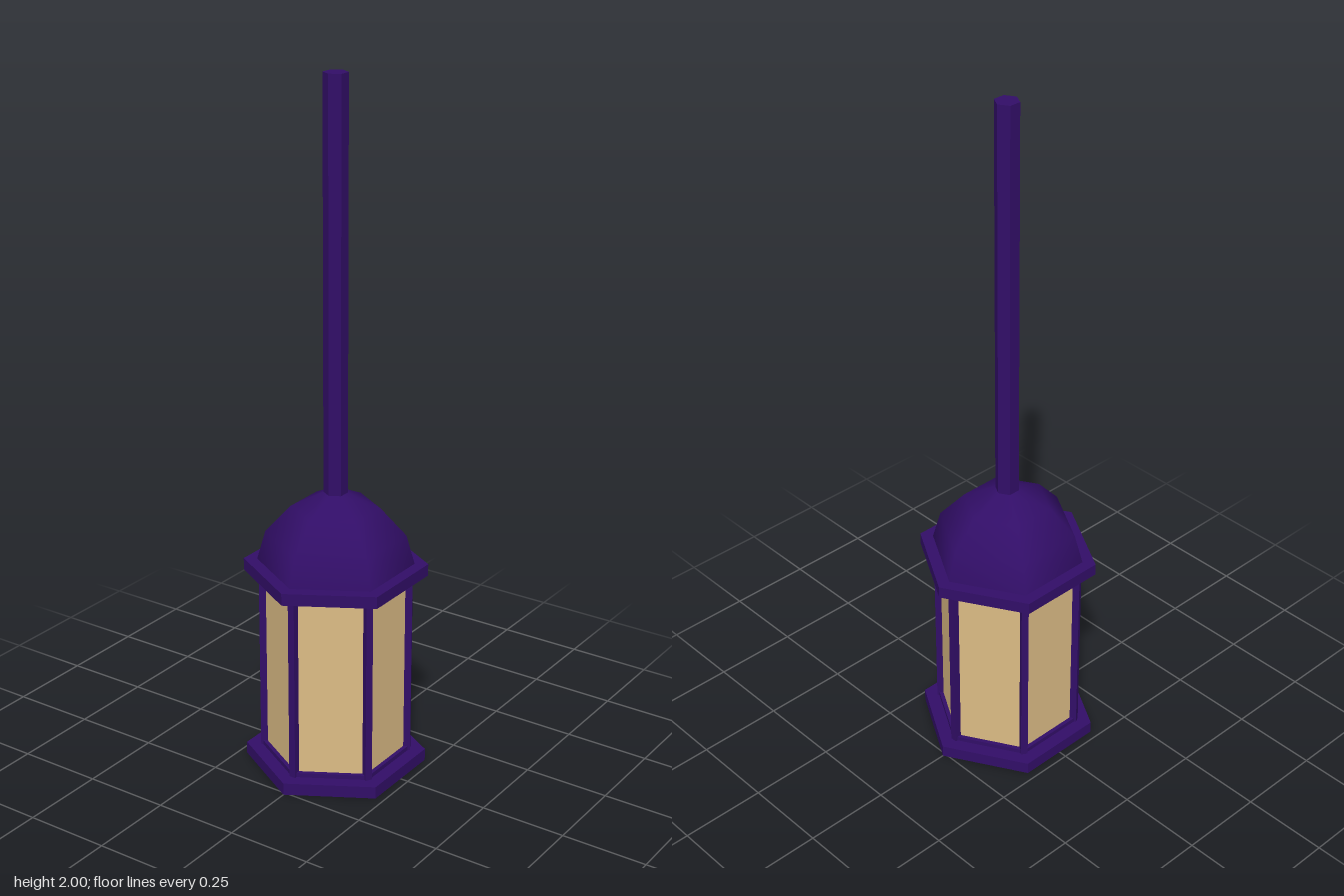
import * as THREE from 'three';

export function createModel() {
  const model = new THREE.Group();
  model.name = 'hangingLantern';

  const metal = new THREE.MeshStandardMaterial({ color: 0x320e68, flatShading: true });
  metal.name = 'purple metal';
  const domeMetal = metal.clone();
  domeMetal.flatShading = false;
  const glass = new THREE.MeshStandardMaterial({ color: 0xdcbc85, flatShading: true });
  glass.name = 'amber glass';

  const add = (name, geometry, material, parent = model) => {
    const mesh = new THREE.Mesh(geometry, material);
    mesh.name = name;
    parent.add(mesh);
    return mesh;
  };
  // Hexagonal prism between two heights, corners on the z axis
  const hexPrism = (name, radius, y0, y1, material) => {
    const mesh = add(name, new THREE.CylinderGeometry(radius, radius, y1 - y0, 6), material);
    mesh.position.y = (y0 + y1) / 2;
    return mesh;
  };

  // Plates, glass body and hanging rod
  hexPrism('basePlate', 0.26, 0, 0.036, metal);
  hexPrism('glassBody', 0.203, 0.036, 0.59, glass);
  hexPrism('topPlate', 0.26, 0.59, 0.625, metal);
  hexPrism('rod', 0.034, 0.8, 2, metal);

  // Domed roof
  const profile = [[0.222, 0.624], [0.198, 0.71], [0.125, 0.79], [0.034, 0.835], [0, 0.835]]
    .map(([r, y]) => new THREE.Vector2(r, y));
  add('domeRoof', new THREE.LatheGeometry(profile, 6), domeMetal);

  // Window frame: a post at each corner, rails along each side
  const frame = new THREE.Group();
  frame.name = 'windowFrame';
  model.add(frame);
  const bodyRadius = 0.207;
  for (let i = 0; i < 6; i++) {
    const corner = i * Math.PI / 3;
    const post = add('cornerPost', new THREE.BoxGeometry(0.02, 0.556, 0.02), metal, frame);
    post.position.set(Math.sin(corner) * bodyRadius, 0.313, Math.cos(corner) * bodyRadius);
    post.rotation.y = corner;

    const side = corner + Math.PI / 6;
    const apothem = bodyRadius * Math.cos(Math.PI / 6);
    for (const [name, y] of [['bottomRail', 0.042], ['topRail', 0.584]]) {
      const rail = add(name, new THREE.BoxGeometry(bodyRadius, 0.014, 0.016), metal, frame);
      rail.position.set(Math.sin(side) * apothem, y, Math.cos(side) * apothem);
      rail.rotation.y = side;
    }
  }
  return model;
}
